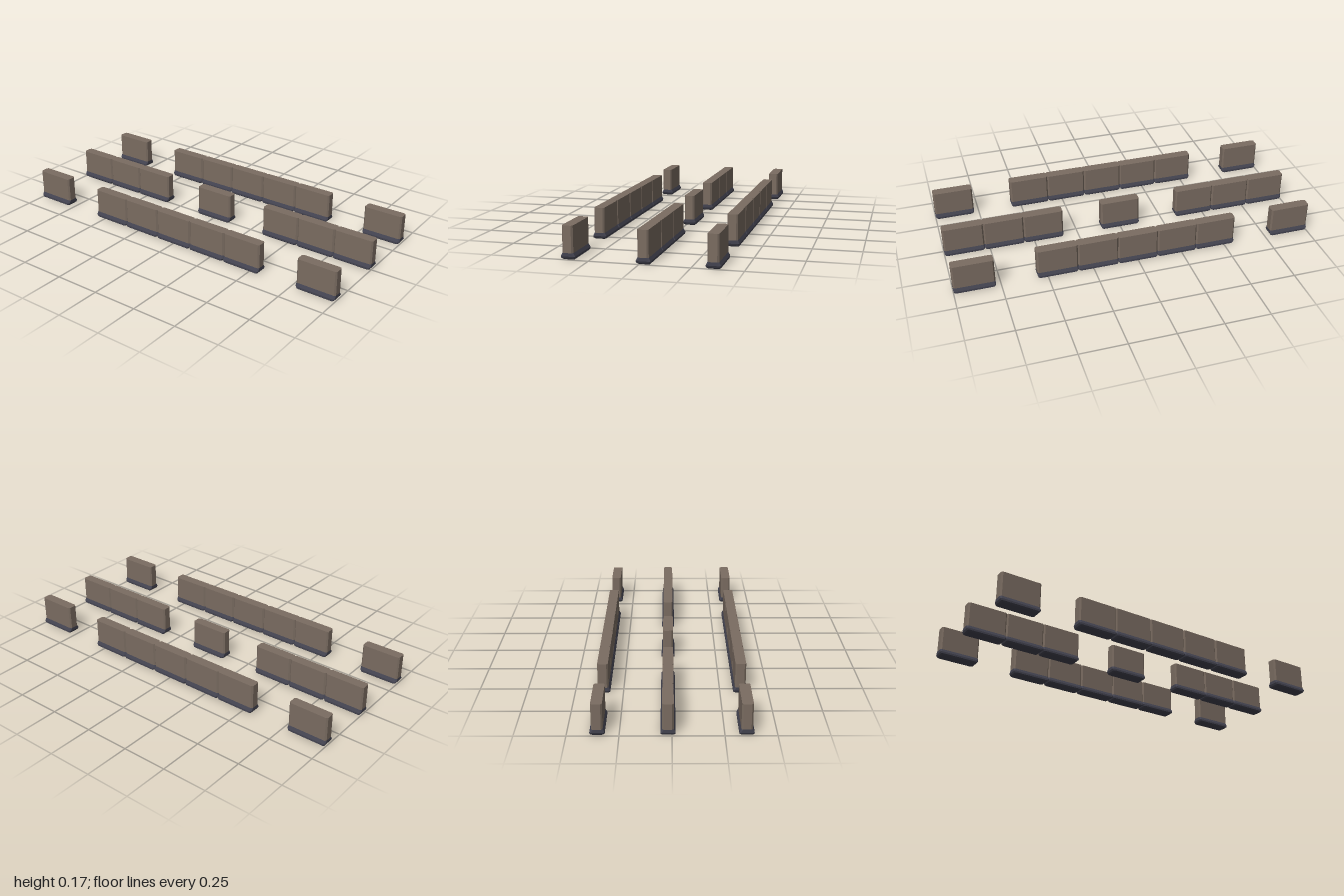
import * as THREE from 'three';

// Closed solid through chamfered-rectangle rings [y, halfX, halfZ, chamfer], bottom to top
function loft(rings) {
  const loops = rings.map(([y, a, b, c]) => [
    [a, b - c], [a - c, b], [c - a, b], [-a, b - c],
    [-a, c - b], [c - a, -b], [a - c, -b], [a, c - b],
  ].map(([x, z]) => [x, y, z]));
  const pos = [];
  const tri = (...pts) => pts.forEach((p) => pos.push(...p));
  for (let r = 0; r < loops.length - 1; r++) {
    const lo = loops[r], hi = loops[r + 1];
    for (let i = 0; i < 8; i++) {
      const j = (i + 1) % 8;
      tri(lo[i], hi[i], hi[j]);
      tri(lo[i], hi[j], lo[j]);
    }
  }
  const first = loops[0], last = loops[loops.length - 1];
  for (let i = 1; i < 7; i++) {
    tri(first[0], first[i], first[i + 1]);
    tri(last[0], last[i + 1], last[i]);
  }
  const geo = new THREE.BufferGeometry();
  geo.setAttribute('position', new THREE.Float32BufferAttribute(pos, 3));
  geo.computeVertexNormals();
  return geo;
}

export function createModel() {
  const stone = new THREE.MeshStandardMaterial({ color: 0x7a6c61, flatShading: true });
  stone.name = 'brown stone';
  const slate = new THREE.MeshStandardMaterial({ color: 0x434350, flatShading: true });
  slate.name = 'dark slate';

  const pitch = 2 / 9;
  const half = pitch / 2;

  // Upright slab and its flared plinth, which narrows again towards the ground
  const wallGeo = loft([[0.033, half, 0.0275, 0.008], [0.167, half, 0.0275, 0.008]]);
  const baseGeo = loft([
    [0, half - 0.012, 0.029, 0.006],
    [0.006, half - 0.005, 0.036, 0.006],
    [0.016, half, 0.036, 0.006],
    [0.033, half, 0.0275, 0.008],
  ]);

  // Three staggered rows; # marks a wall block, . a gap
  const rows = [
    { name: 'backRow', z: -0.354, plan: '#.#####.#' },
    { name: 'middleRow', z: -0.019, plan: '###.#.###' },
    { name: 'frontRow', z: 0.354, plan: '#.#####.#' },
  ];

  const model = new THREE.Group();
  model.name = 'barrierWalls';
  for (const { name, z, plan } of rows) {
    const row = new THREE.Group();
    row.name = name;
    row.position.z = z;
    [...plan].forEach((cell, i) => {
      if (cell !== '#') return;
      const block = new THREE.Group();
      block.name = 'wallBlock';
      block.position.x = (i - 4) * pitch;
      const wall = new THREE.Mesh(wallGeo, stone);
      wall.name = 'wallSlab';
      const base = new THREE.Mesh(baseGeo, slate);
      base.name = 'plinth';
      block.add(wall, base);
      row.add(block);
    });
    model.add(row);
  }
  return model;
}
